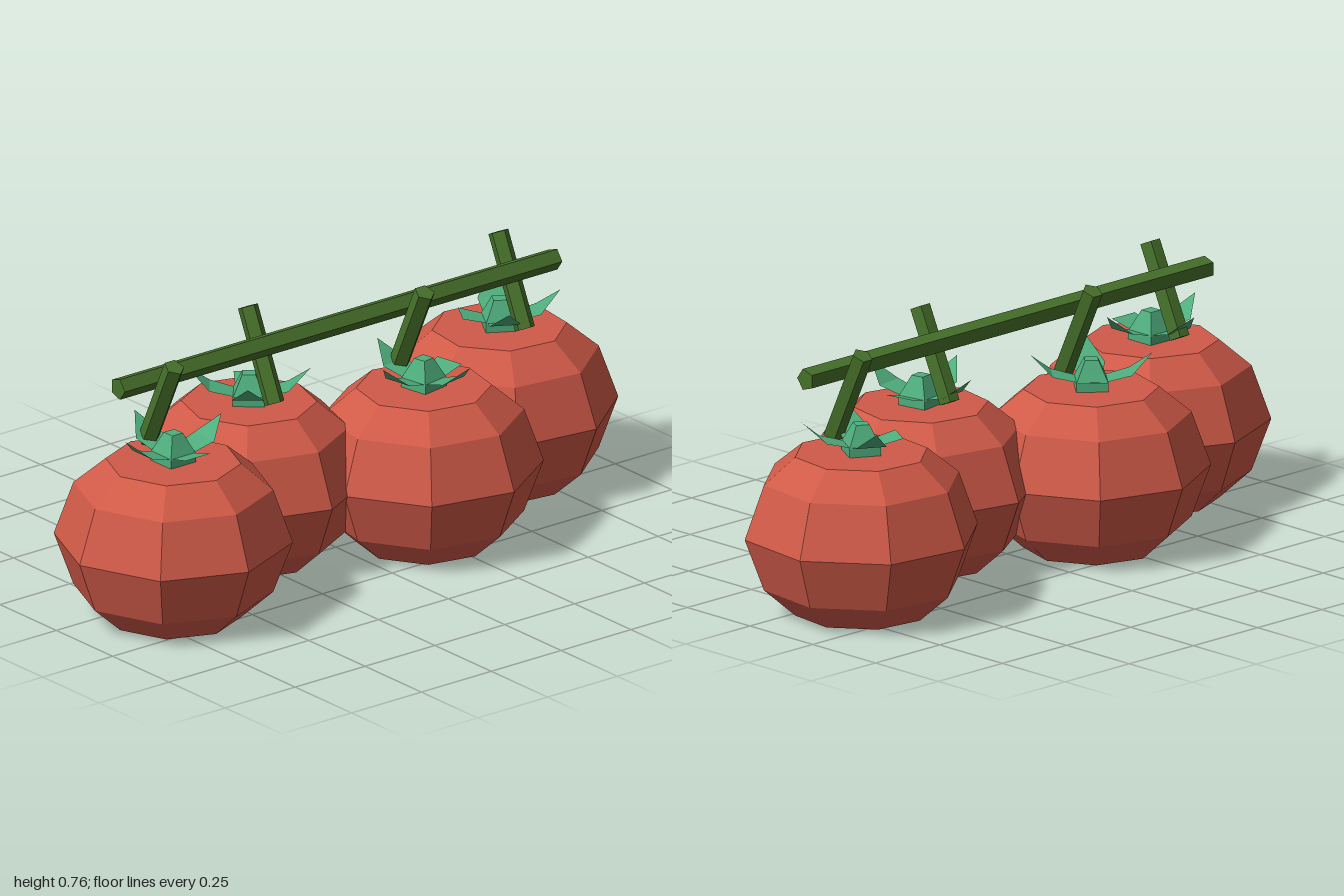
import * as THREE from 'three';

const mat = (name, color, extra = {}) => {
  const m = new THREE.MeshStandardMaterial({ color, flatShading: true, ...extra });
  m.name = name;
  return m;
};

export function createModel() {
  const red = mat('tomatoRed', 0xd05a48);
  const leafGreen = mat('leafGreen', 0x4fae7d, { side: THREE.DoubleSide });
  const vineGreen = mat('vineGreen', 0x46702a);

  const add = (parent, name, geometry, material) => {
    const mesh = new THREE.Mesh(geometry, material);
    mesh.name = name;
    parent.add(mesh);
    return mesh;
  };
  const lathe = (points, sides, phase = 0) =>
    new THREE.LatheGeometry(points.map(([r, y]) => new THREE.Vector2(r, y)), sides, phase);

  // Eight-sided fruit and square calyx core
  const fruitGeo = lathe([[0, 0], [0.19, 0], [0.28, 0.08], [0.335, 0.23], [0.28, 0.385], [0.19, 0.46], [0, 0.46]], 8);
  const q = Math.SQRT2;
  const coreGeo = lathe([[0, 0.455], [0.045 * q, 0.455], [0.045 * q, 0.485], [0.034 * q, 0.51], [0.019 * q, 0.545], [0, 0.545]], 4, Math.PI / 4);

  // Leaf as a strip of cross-sections [half width, height, reach]
  const leaf = (sections) => {
    const pos = [], index = [];
    sections.forEach(([w, y, z], i) => {
      pos.push(-w, y, z, w, y, z);
      if (i) {
        const a = 2 * i - 2;
        index.push(a, a + 2, a + 1);
        if (w) index.push(a + 1, a + 2, a + 3);
      }
    });
    const g = new THREE.BufferGeometry();
    g.setAttribute('position', new THREE.Float32BufferAttribute(pos, 3));
    g.setIndex(index);
    g.computeVertexNormals();
    return g;
  };
  const bluntSections = [[0.038, 0.484, 0.03], [0.045, 0.505, 0.11]];
  const bluntLeaf = leaf(bluntSections);
  const pointedLeaf = leaf([...bluntSections, [0, 0.56, 0.172]]);

  const model = new THREE.Group();
  model.name = 'vineTomatoes';

  for (let i = 0; i < 4; i++) {
    const side = i % 2 ? -1 : 1;
    const x = -0.67 + i * 0.448;

    // Fruit with calyx, each turned a little further
    const tomato = new THREE.Group();
    tomato.name = 'tomato';
    tomato.position.set(x, 0, side * 0.11);
    tomato.rotation.y = THREE.MathUtils.degToRad(50 * i);
    add(tomato, 'fruit', fruitGeo, red);
    add(tomato, 'calyxCore', coreGeo, leafGreen);
    for (let k = 0; k < 4; k++) {
      const blunt = k === i % 2;
      add(tomato, 'calyxLeaf', blunt ? bluntLeaf : pointedLeaf, leafGreen).rotation.y = k * Math.PI / 2;
    }
    model.add(tomato);

    // Leaning stalk
    const stalk = add(model, 'stalk', new THREE.CylinderGeometry(0.03, 0.03, 0.281, 5), vineGreen);
    stalk.position.set(x, 0.615, side * 0.056);
    stalk.rotation.x = side * 0.433;
  }

  // Main vine along the top
  const vine = add(model, 'mainVine', new THREE.CylinderGeometry(0.032, 0.032, 1.565, 5), vineGreen);
  vine.position.set(0.002, 0.67, 0);
  vine.rotation.z = Math.PI / 2;

  return model;
}
